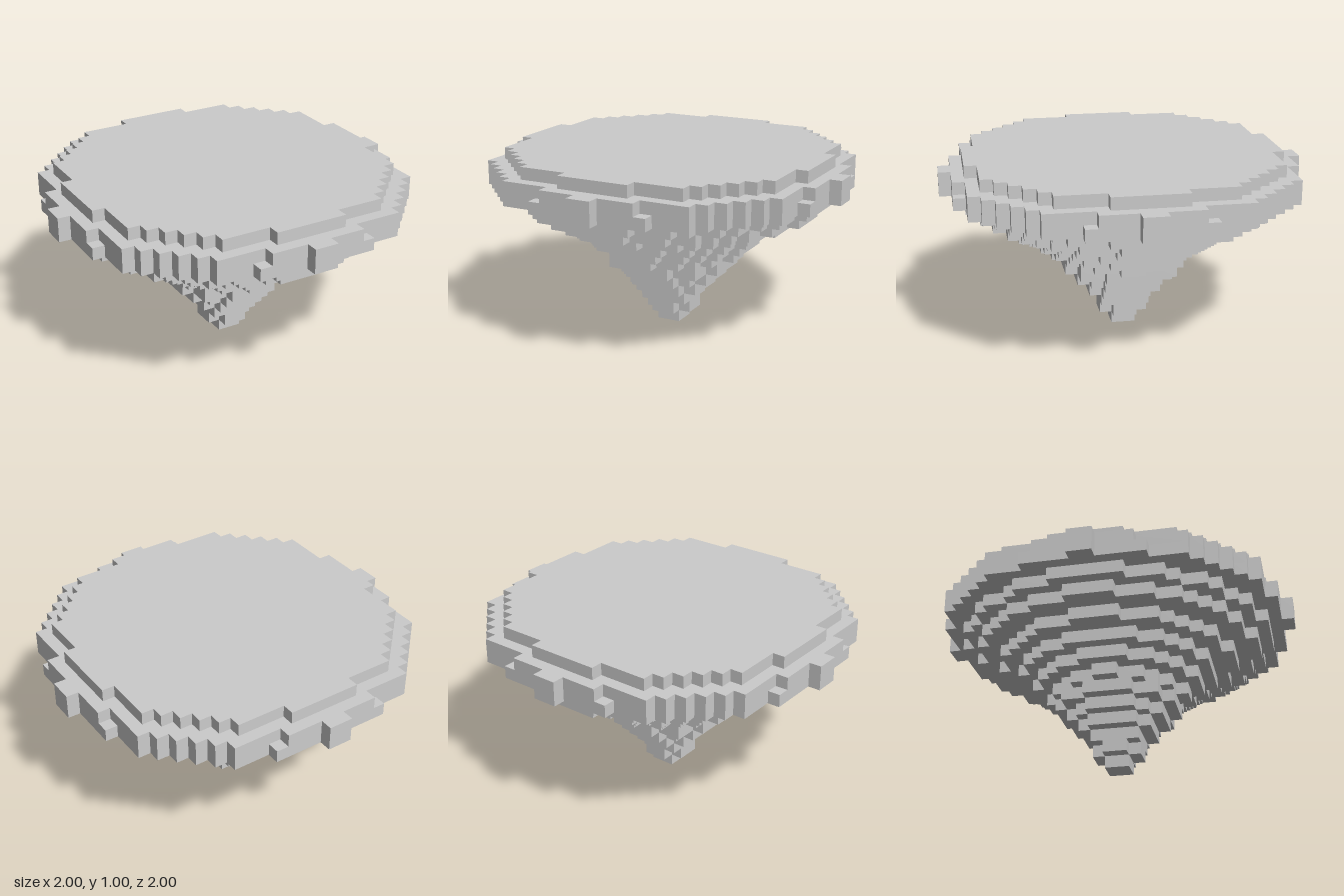
import * as THREE from 'three';

const CELL = 1 / 15;

// Half-widths of a disc of cells, row by row outwards, for a squared radius.
function disc(r2) {
  const rows = [];
  for (let k = 0; (k + 0.5) ** 2 + 0.25 <= r2; k++) {
    let w = 0;
    while ((k + 0.5) ** 2 + (w + 0.5) ** 2 <= r2) w++;
    rows.push(w);
  }
  return rows;
}

// Layers from the tip to the flat top.
const LAYERS = [
  ['tip', [1]],
  ['stem', [2, 1]],
  ['stem', [2, 2]],
  ['cone', [3, 3, 2]],
  ...[16, 25, 31, 46, 65, 94, 136, 165].map((r2) => ['cone', disc(r2)]),
  ['rim', [15, 14, 14, 14, 14, 13, 13, 13, 12, 11, 10, 9, 8, 5, 1]],
  ['rim', [15, 14, 14, 14, 13, 13, 13, 13, 12, 11, 10, 9, 8, 4, 1]],
  ['flatTop', [13, 13, 13, 12, 12, 12, 12, 11, 10, 9, 8, 7, 3]],
];

// Stepped outline: one quadrant, turned four times.
function steppedShape(rows) {
  const quadrant = [];
  rows.forEach((w, k) => {
    const next = rows[k + 1];
    if (next === w) return;
    quadrant.push([w, k + 1]);
    if (next !== undefined) quadrant.push([next, k + 1]);
  });
  const points = [];
  for (let q = 0; q < 4; q++) {
    for (const [a, b] of quadrant) {
      const [x, y] = [[a, b], [-b, a], [-a, -b], [b, -a]][q];
      points.push(new THREE.Vector2(x * CELL, y * CELL));
    }
  }
  return new THREE.Shape(points);
}

export function createModel() {
  const model = new THREE.Group();
  model.name = 'floatingIsland';
  const material = new THREE.MeshStandardMaterial({ color: 0xcccccc, flatShading: true });

  LAYERS.forEach(([name, rows], i) => {
    const geometry = new THREE.ExtrudeGeometry(steppedShape(rows), { depth: CELL, bevelEnabled: false });
    geometry.rotateX(-Math.PI / 2);
    const layer = new THREE.Mesh(geometry, material);
    layer.name = `${name}Layer${i + 1}`;
    layer.position.y = i * CELL;
    model.add(layer);
  });
  return model;
}
